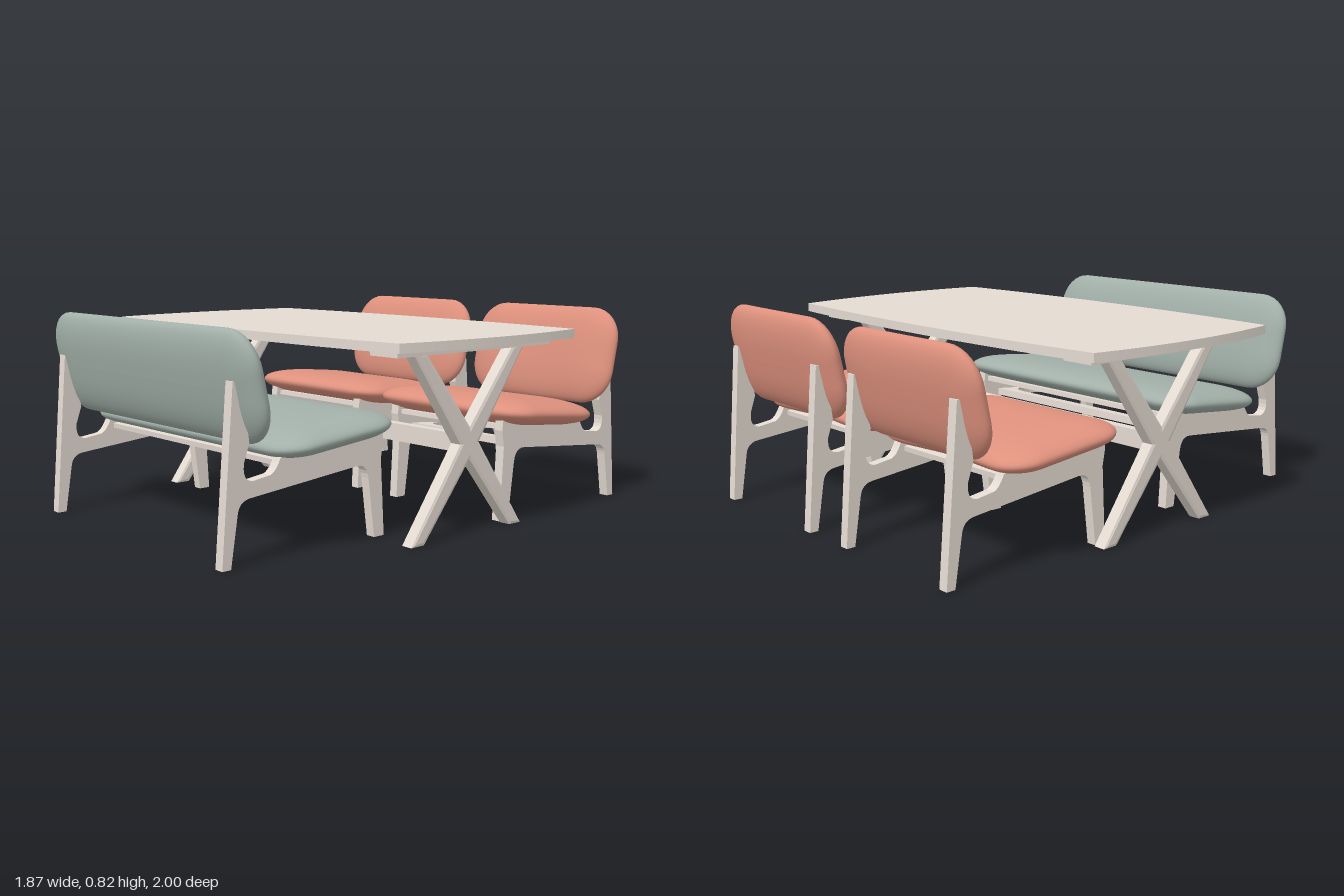
import * as THREE from 'three';

const wood = new THREE.MeshStandardMaterial({ color: 0xe4dbd2 });
wood.name = 'pale wood';
const coral = new THREE.MeshStandardMaterial({ color: 0xde917d });
coral.name = 'coral fabric';
const sage = new THREE.MeshStandardMaterial({ color: 0xa2b0a9 });
sage.name = 'sage fabric';

function add(parent, name, geometry, material, x = 0, y = 0, z = 0) {
  const mesh = new THREE.Mesh(geometry, material);
  mesh.name = name;
  mesh.position.set(x, y, z);
  parent.add(mesh);
  return mesh;
}

// Closed rounded-rectangle loop, with extra points along the straight edges
function loop(a, b, r) {
  const corners = [];
  for (let q = 0; q < 4; q++) {
    const sx = q === 0 || q === 3 ? 1 : -1, sz = q < 2 ? 1 : -1;
    for (let i = 0; i <= 8; i++) {
      const t = (q + i / 8) * Math.PI / 2;
      corners.push([sx * (a - r) + r * Math.cos(t), sz * (b - r) + r * Math.sin(t)]);
    }
  }
  const points = [];
  corners.forEach((p, k) => {
    points.push(p);
    if (k % 9 !== 8) return;
    const n = corners[(k + 1) % 36];
    for (let i = 1; i < 10; i++) {
      points.push([p[0] + (n[0] - p[0]) * i / 10, p[1] + (n[1] - p[1]) * i / 10]);
    }
  });
  return points;
}

// Pillow with half sizes a (x), b (z), h (y), its rings closing to a centre line;
// dip pulls in the middle of the rear edge, dish hollows the middle of the upper face
function cushionGeometry(a, b, h, r, dip, dish) {
  const rings = 28, pos = [], index = [];
  let n = 0;
  for (let j = 0; j <= rings; j++) {
    const phi = Math.PI * j / rings;
    const s = Math.pow(Math.max(0, Math.sin(phi)), 0.77);
    const inset = b * (1 - s);
    const up = Math.cos(phi);
    const ring = loop(a - inset, b - inset, r * s);
    n = ring.length;
    for (const [x, z] of ring) {
      const middle = Math.cos(Math.PI * x / (2 * a));
      const pull = z < 0 ? dip * (-z / b) * middle ** 4 : 0;
      pos.push(x, h * up - dish * Math.max(0, up) * middle ** 2, z + pull);
    }
  }
  for (let j = 0; j < rings; j++) {
    for (let i = 0; i < n; i++) {
      const k = (i + 1) % n;
      const p = j * n + i, q = j * n + k, u = p + n, v = q + n;
      index.push(p, q, u, q, v, u);
    }
  }
  const g = new THREE.BufferGeometry();
  g.setAttribute('position', new THREE.Float32BufferAttribute(pos, 3));
  g.setIndex(index);
  g.computeVertexNormals();
  return g;
}

// Side profile extruded across x; profile x runs towards -z
function sideExtrude(shape, width, bevel = 0) {
  const thickness = bevel / 3;
  const g = new THREE.ExtrudeGeometry(shape, {
    depth: width - 2 * thickness, bevelEnabled: bevel > 0, bevelSize: bevel,
    bevelThickness: thickness, bevelOffset: -bevel, bevelSegments: 1, curveSegments: 6,
  });
  g.translate(0, 0, thickness - width / 2);
  g.rotateY(Math.PI / 2);
  return g;
}

function frameGeometry() {
  const s = new THREE.Shape();
  s.moveTo(0.245, 0);
  s.lineTo(0.295, 0);
  s.lineTo(0.325, 0.23);
  s.quadraticCurveTo(0.332, 0.288, 0.385, 0.284);
  s.lineTo(0.88, 0.237);
  s.quadraticCurveTo(0.925, 0.232, 0.932, 0.19);
  s.lineTo(0.963, 0);
  s.lineTo(1, 0);
  s.lineTo(0.947, 0.645);
  s.lineTo(0.91, 0.645);
  s.lineTo(0.88, 0.43);
  s.lineTo(0.904, 0.36);
  s.quadraticCurveTo(0.912, 0.298, 0.865, 0.296);
  s.lineTo(0.79, 0.306);
  s.quadraticCurveTo(0.765, 0.315, 0.745, 0.36);
  s.lineTo(0.28, 0.41);
  s.lineTo(0.256, 0.41);
  s.lineTo(0.25, 0.365);
  s.lineTo(0.262, 0.3);
  s.closePath();
  return sideExtrude(s, 0.04);
}

// Flat cross rail that flares into the side frames at its ends
function crossRailGeometry(o) {
  const s = new THREE.Shape();
  s.moveTo(-o, -0.05);
  s.lineTo(o, -0.05);
  s.lineTo(o, 0.15);
  s.lineTo(o - 0.02, 0.15);
  s.quadraticCurveTo(o - 0.03, 0.01, o - 0.14, 0.005);
  s.lineTo(0.14 - o, 0.005);
  s.quadraticCurveTo(0.03 - o, 0.01, 0.02 - o, 0.15);
  s.lineTo(-o, 0.15);
  s.closePath();
  const g = new THREE.ExtrudeGeometry(s, { depth: 0.03, bevelEnabled: false, curveSegments: 8 });
  g.rotateX(-Math.PI / 2);
  return g;
}

// Padded seat unit: backrest towards -z, frames at +-offset
function seating(name, fabric, seatHalf, backHalf, offset, dip) {
  const unit = new THREE.Group();
  unit.name = name;
  const frame = frameGeometry();
  for (const side of [-1, 1]) add(unit, 'sideFrame', frame, wood, side * offset, 0, 0);
  add(unit, 'crossRail', crossRailGeometry(offset), wood, 0, 0.285, -0.385).rotation.x = -0.095;
  const panel = new THREE.BoxGeometry(2 * offset + 0.04, 0.02, 0.46);
  add(unit, 'seatPanel', panel, wood, 0, 0.355, -0.5).rotation.x = -0.09;
  const seat = cushionGeometry(seatHalf, 0.28, 0.061, 0.125, dip, 0);
  add(unit, 'seatCushion', seat, fabric, 0, 0.413, -0.495).rotation.x = -0.1;
  const back = cushionGeometry(backHalf, 0.207, 0.057, 0.14, 0, 0.01);
  add(unit, 'backCushion', back, fabric, 0, 0.618, -0.883).rotation.x = Math.PI / 2 - 0.22;
  return unit;
}

function table() {
  const group = new THREE.Group();
  group.name = 'table';
  // Top with four gently bowed edges
  const s = new THREE.Shape();
  s.moveTo(-0.89, -0.48);
  s.quadraticCurveTo(0, -0.575, 0.89, -0.48);
  s.quadraticCurveTo(0.98, 0, 0.89, 0.48);
  s.quadraticCurveTo(0, 0.575, -0.89, 0.48);
  s.quadraticCurveTo(-0.98, 0, -0.89, -0.48);
  const top = new THREE.ExtrudeGeometry(s, { depth: 0.035, bevelEnabled: false, curveSegments: 20 });
  top.rotateX(-Math.PI / 2);
  add(group, 'tableTop', top, wood, 0, 0.73, 0);

  // Crossed legs, thickest where they meet
  const cleat = new THREE.BoxGeometry(0.14, 0.025, 0.84);
  for (const dir of [-1, 1]) {
    const leg = new THREE.Shape([
      [0.305, 0], [0.05, 0.353], [-0.24, 0.71], [-0.305, 0.71], [-0.05, 0.353], [0.24, 0],
    ].map(([z, y]) => new THREE.Vector2(z * dir, y)));
    const legGeometry = sideExtrude(leg, 0.056, 0.012);
    for (const side of [-1, 1]) add(group, 'crossLeg', legGeometry, wood, side * 0.759, 0, 0);
  }
  for (const side of [-1, 1]) add(group, 'cleat', cleat, wood, side * 0.75, 0.7175, 0);
  add(group, 'stretcher', new THREE.BoxGeometry(1.48, 0.07, 0.04), wood, 0, 0.35, 0);
  return group;
}

export function createModel() {
  const model = new THREE.Group();
  model.name = 'diningSet';
  model.add(table());
  for (const side of [-1, 1]) {
    const chair = seating('chair', coral, 0.407, 0.38, 0.2925, 0.022);
    chair.position.x = side * 0.417;
    model.add(chair);
  }
  const bench = seating('bench', sage, 0.673, 0.675, 0.57, 0);
  bench.rotation.y = Math.PI;
  bench.position.x = -0.015;
  model.add(bench);
  return model;
}
